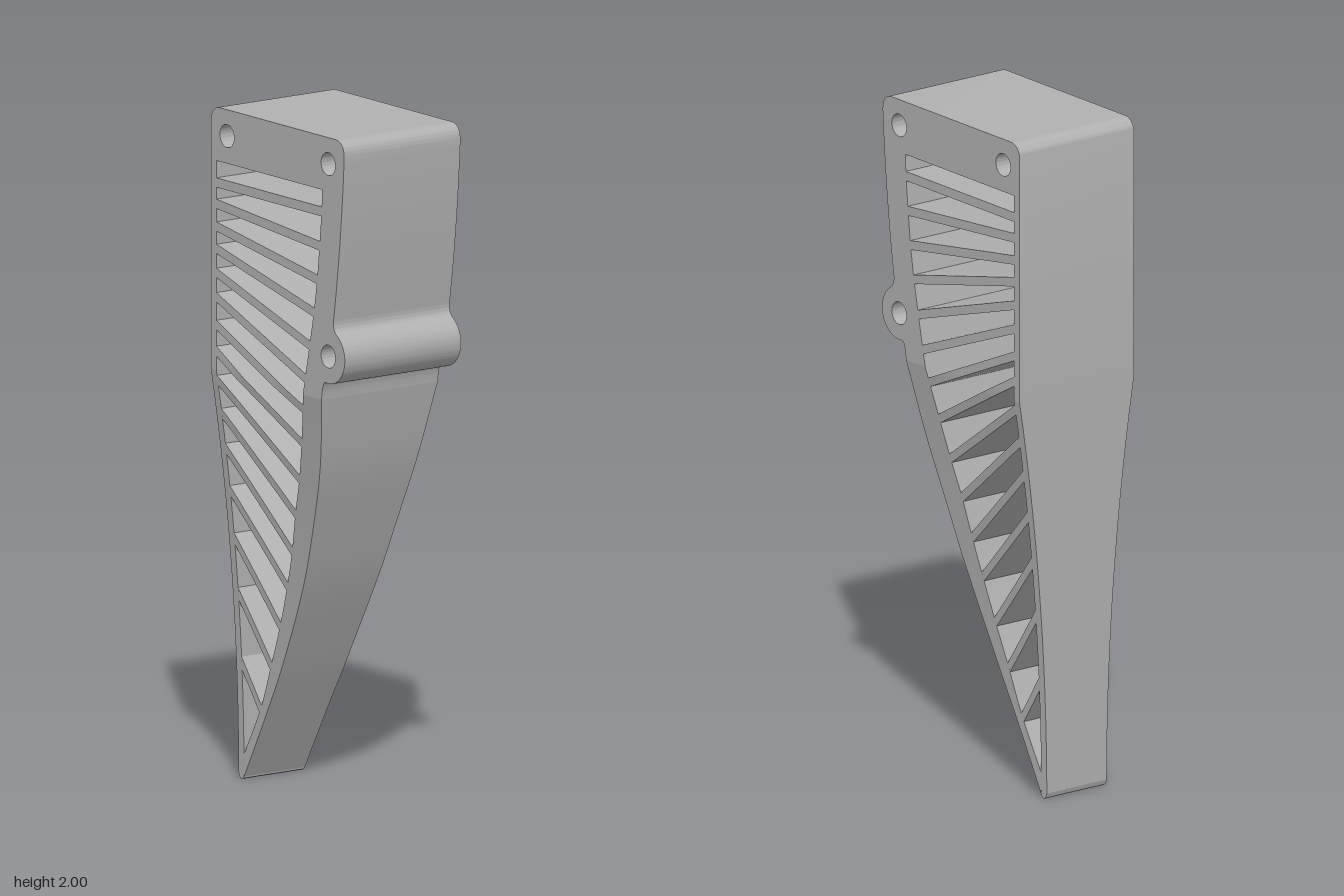
import * as THREE from 'three';
import { toCreasedNormals } from 'three/addons/utils/BufferGeometryUtils.js';

const V = (x, y) => new THREE.Vector2(x, y);
const JOIN = 1.22; // height where the taper in thickness begins
const LEFT = -0.323, RIB = -0.297; // outer and inner edge of the straight rib

// half thickness in z at height y
const halfDepth = (y) => 0.11 + 0.1 * Math.min(1, y / JOIN) ** 2;

// height of each bar on the straight rib, and its end on the curved rim
const barLeft = [1.776, 1.713, 1.646, 1.58, 1.509, 1.437, 1.355, 1.278, 1.191, 1.091, 0.985, 0.858, 0.715, 0.551, 0.344];
const barRight = [
  [0.209, 1.776], [0.199, 1.673], [0.188, 1.572], [0.172, 1.472], [0.151, 1.371],
  [0.13, 1.27], [0.109, 1.175], [0.082, 1.069], [0.05, 0.953], [0.013, 0.842],
  [-0.019, 0.725], [-0.056, 0.614], [-0.103, 0.487], [-0.156, 0.36], [-0.214, 0.222],
].map(([x, y]) => V(x, y));
const rimJoin = V(0.119, JOIN);

// solid strip between two edges; a lies left of b when walking along it
function strip(a, b) {
  const pos = [], index = [];
  a.forEach((p, i) => {
    const q = b[i], hp = halfDepth(p.y), hq = halfDepth(q.y);
    pos.push(p.x, p.y, hp, q.x, q.y, hq, q.x, q.y, -hq, p.x, p.y, -hp);
  });
  const quad = (i, j, k, l) => index.push(i, j, k, i, k, l);
  for (let i = 0; i < a.length - 1; i++) {
    for (let k = 0; k < 4; k++) {
      const n = (k + 1) % 4, s = i * 4;
      quad(s + k, s + n, s + 4 + n, s + 4 + k);
    }
  }
  const e = (a.length - 1) * 4;
  quad(3, 2, 1, 0);
  quad(e, e + 1, e + 2, e + 3);
  const geo = new THREE.BufferGeometry();
  geo.setAttribute('position', new THREE.Float32BufferAttribute(pos, 3));
  geo.setIndex(index);
  return toCreasedNormals(geo, 0.3);
}

// full-thickness upper body: head plate, rim with lug, and top of the rib
function upperFrame() {
  const s = new THREE.Shape();
  s.moveTo(LEFT, JOIN);
  s.lineTo(rimJoin.x - (rimJoin.x - RIB), JOIN);
  s.lineTo(RIB, 1.841);
  s.lineTo(0.212, 1.841);
  barRight.filter((p) => p.y > JOIN).forEach((p) => s.lineTo(p.x, p.y));
  s.lineTo(rimJoin.x, JOIN);
  s.lineTo(0.209, JOIN);
  s.quadraticCurveTo(0.214, 1.272, 0.227, 1.274);
  s.absarc(0.241, 1.353, 0.08, -1.75, Math.PI / 3, false);
  s.quadraticCurveTo(0.262, 1.436, 0.267, 1.466);
  s.quadraticCurveTo(0.304, 1.7, 0.318, 1.95);
  s.quadraticCurveTo(0.319, 2, 0.273, 2);
  s.lineTo(LEFT + 0.04, 2);
  s.absarc(LEFT + 0.04, 1.96, 0.04, Math.PI / 2, Math.PI, false);
  s.closePath();
  for (const [x, y] of [[-0.246, 1.922], [0.241, 1.922], [0.241, 1.353]]) {
    s.holes.push(new THREE.Path().absarc(x, y, 0.034, 0, Math.PI * 2, true));
  }
  const depth = 2 * halfDepth(JOIN);
  const geo = new THREE.ExtrudeGeometry(s, { depth, bevelEnabled: false, curveSegments: 28 });
  geo.translate(0, 0, -depth / 2);
  return toCreasedNormals(geo, 0.3);
}

// straight rib running down to the rounded tip
function lowerRib() {
  const a = [V(-0.312, 0), V(-0.319, 0.006), V(LEFT, 0.018)];
  const b = [V(-0.306, 0), V(-0.3, 0.003), V(RIB, 0.018)];
  for (let i = 1; i <= 24; i++) {
    const y = 0.018 + (JOIN - 0.018) * i / 24;
    a.push(V(LEFT, y));
    b.push(V(RIB, y));
  }
  return strip(a, b);
}

// curved rim sweeping from the tip up to the lug
function lowerRim() {
  const inner = [V(RIB, 0.075), ...barRight.filter((p) => p.y < JOIN).reverse(), rimJoin];
  const outer = [
    V(RIB, 0.008), V(-0.18, 0.222), V(-0.1, 0.37), V(0.018, 0.614),
    V(0.09, 0.8), V(0.16, 1.006), V(0.209, JOIN),
  ];
  const sample = (pts) => new THREE.SplineCurve(pts).getSpacedPoints(36);
  return strip(sample(inner), sample(outer));
}

// one slanted bar, sunk slightly into rib and rim
function bar(i) {
  const start = V(RIB, barLeft[i]), end = barRight[i].clone();
  const d = end.clone().sub(start).normalize();
  const half = 0.014 - 0.003 * i / 14;
  const n = V(-d.y, d.x).multiplyScalar(half);
  start.addScaledVector(d, -0.016);
  end.addScaledVector(d, 0.016);
  const a = [], b = [];
  for (let k = 0; k <= 12; k++) {
    const p = start.clone().lerp(end, k / 12);
    a.push(p.clone().add(n));
    b.push(p.clone().sub(n));
  }
  return strip(a, b);
}

export function createModel() {
  const model = new THREE.Group();
  model.name = 'slattedBracket';
  const grey = new THREE.MeshStandardMaterial({ color: 0xb0b0b0 });
  grey.name = 'plain grey';
  const add = (name, geo, parent = model) => {
    const mesh = new THREE.Mesh(geo, grey);
    mesh.name = name;
    parent.add(mesh);
  };
  add('upperFrame', upperFrame());
  add('lowerRib', lowerRib());
  add('lowerRim', lowerRim());
  const bars = new THREE.Group();
  bars.name = 'bars';
  model.add(bars);
  barLeft.forEach((_, i) => add(`bar${i + 1}`, bar(i), bars));
  return model;
}
